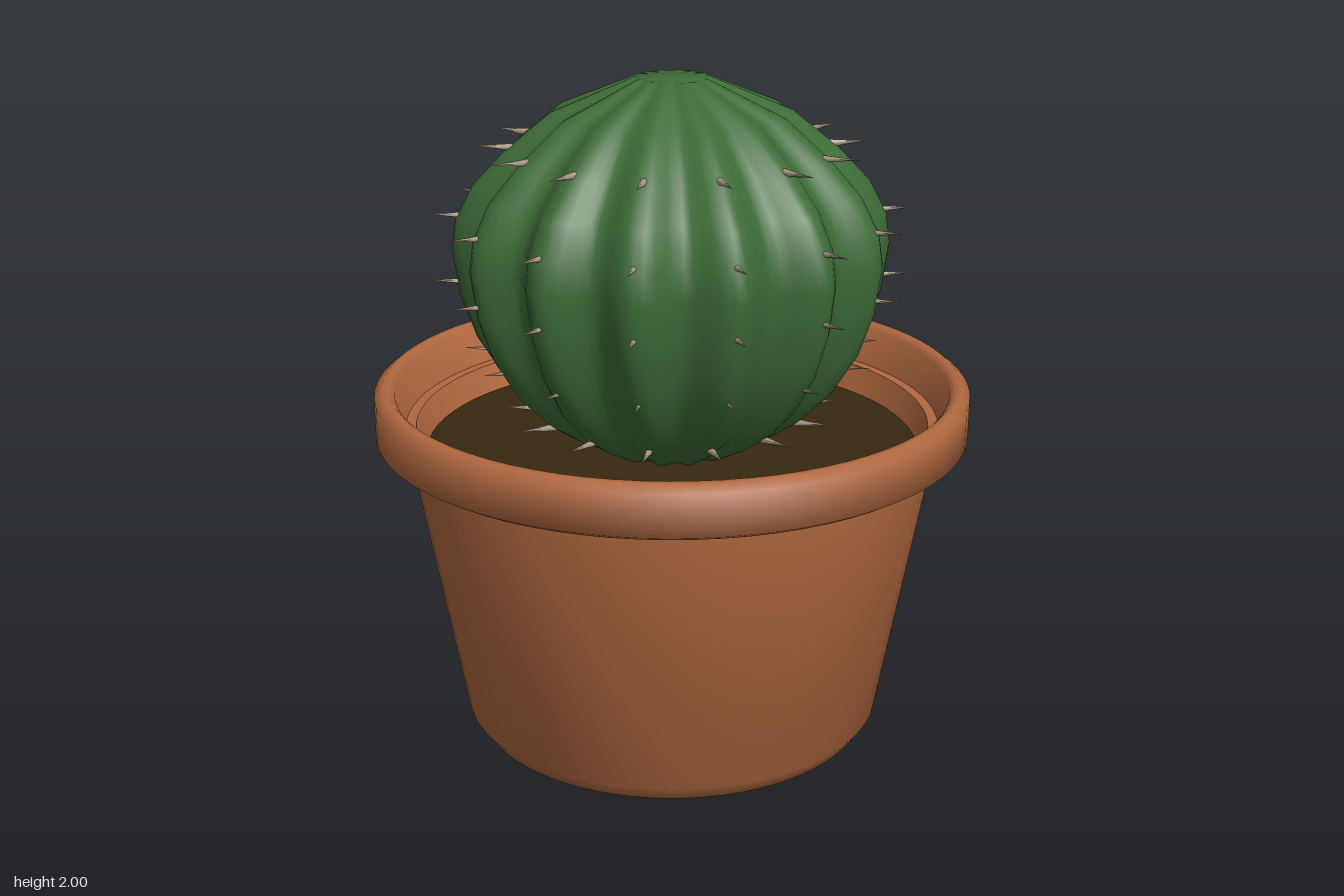
import * as THREE from 'three';
import { mergeVertices, toCreasedNormals } from 'three/addons/utils/BufferGeometryUtils.js';

const RIBS = 14;
const terracotta = new THREE.MeshStandardMaterial({ color: 0xb0683f });
terracotta.name = 'terracotta';
const cactusGreen = new THREE.MeshStandardMaterial({ color: 0x3d6b37 });
cactusGreen.name = 'cactusGreen';
const soilBrown = new THREE.MeshStandardMaterial({ color: 0x38280f });
soilBrown.name = 'soilBrown';
const spineTan = new THREE.MeshStandardMaterial({ color: 0xab9a84 });
spineTan.name = 'spineTan';

const points = (list) => list.map(([r, y]) => new THREE.Vector2(r, y));

function part(name, geometry, material) {
  const mesh = new THREE.Mesh(geometry, material);
  mesh.name = name;
  return mesh;
}

// Turned shape whose sharp corners stay crisp
function turned(profile) {
  return toCreasedNormals(new THREE.LatheGeometry(points(profile), 72), 1.1);
}

// Rib crest profile, from below the soil to the crown
const crest = [
  [0.001, 0.85], [0.2, 0.88], [0.31, 0.94], [0.4, 1.0], [0.5, 1.1], [0.58, 1.23],
  [0.625, 1.36], [0.645, 1.5], [0.632, 1.59], [0.58, 1.69], [0.485, 1.79],
  [0.35, 1.9], [0.11, 2.0], [0, 2.0],
];

// Revolved body with its radius waved around the axis to make the ribs
function ribbedBody() {
  const lathe = new THREE.LatheGeometry(points(crest), RIBS * 10);
  const pos = lathe.attributes.position;
  for (let i = 0; i < pos.count; i++) {
    const angle = Math.atan2(pos.getZ(i), pos.getX(i));
    const k = 0.94 + 0.06 * Math.cos(RIBS * angle);
    pos.setX(i, pos.getX(i) * k);
    pos.setZ(i, pos.getZ(i) * k);
  }
  lathe.deleteAttribute('uv');
  lathe.deleteAttribute('normal');
  const body = mergeVertices(lathe, 1e-5);
  body.computeVertexNormals();
  return body;
}

export function createModel() {
  const model = new THREE.Group();
  model.name = 'pottedCactus';

  // Pot wall, with a chamfered foot and an inner face
  model.add(part('potBody', turned([
    [0, 0], [0.605, 0], [0.64, 0.05], [0.8, 0.94], [0.8, 0.965], [0.77, 0.965], [0.735, 0.87],
  ]), terracotta));

  // Overhanging rim
  model.add(part('potRim', turned([
    [0.79, 0.94], [0.8, 0.93], [0.865, 0.93], [0.89, 0.945], [0.89, 1.07], [0.865, 1.09],
    [0.845, 1.09], [0.83, 1.075], [0.8, 0.965], [0.79, 0.94],
  ]), terracotta));

  // Soil disc
  const soil = part('soil', new THREE.CircleGeometry(0.742, 72), soilBrown);
  soil.rotation.x = -Math.PI / 2;
  soil.position.y = 0.885;
  model.add(soil);

  model.add(part('cactusBody', ribbedBody(), cactusGreen));

  // Spines in rows along every rib crest: [height, base radius]
  const spines = new THREE.Group();
  spines.name = 'spines';
  const spineShape = new THREE.ConeGeometry(0.012, 0.12, 6);
  spineShape.translate(0, 0.06, 0);
  const up = new THREE.Vector3(0, 1, 0);
  for (const [y, r] of [[1.0, 0.39], [1.19, 0.5], [1.4, 0.59], [1.6, 0.59], [1.8, 0.455]]) {
    for (let i = 0; i < RIBS; i++) {
      const a = (i / RIBS) * Math.PI * 2;
      const out = new THREE.Vector3(Math.cos(a), 0.05, Math.sin(a)).normalize();
      const spine = part('spine', spineShape, spineTan);
      spine.position.set(Math.cos(a) * r, y, Math.sin(a) * r);
      spine.quaternion.setFromUnitVectors(up, out);
      spines.add(spine);
    }
  }
  model.add(spines);
  return model;
}
